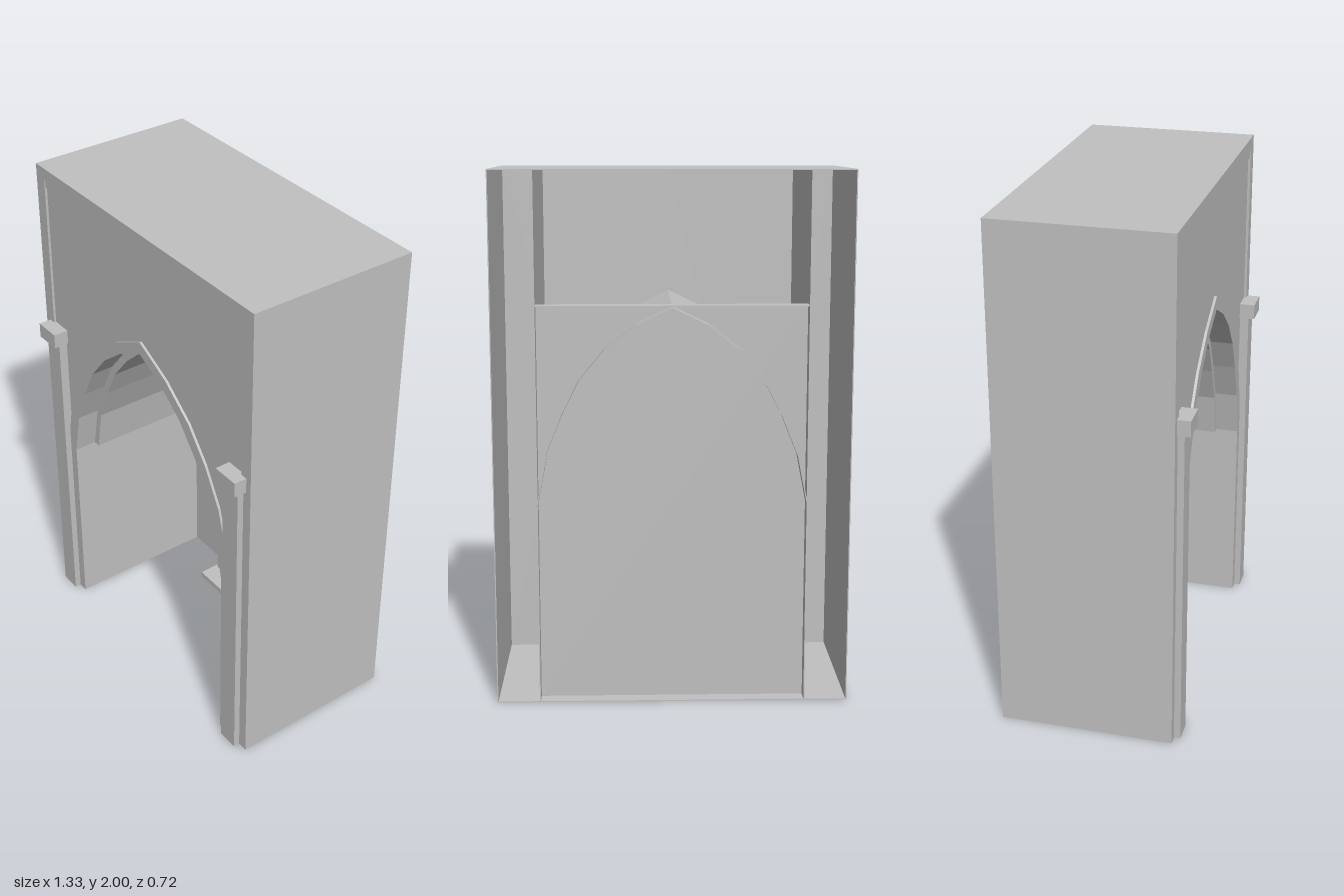
import * as THREE from 'three';

const stone = new THREE.MeshStandardMaterial({ color: 0xc0c0c0, side: THREE.DoubleSide, flatShading: true });
stone.name = 'stone grey';

// Half profiles, from the right foot up to the apex
const NICHE = [[0.5, 0.77], [0.465, 0.95], [0.405, 1.1], [0.34, 1.23], [0.245, 1.345], [0.13, 1.435], [0, 1.5]];
const LINER = [[0.47, 0.77], [0.44, 0.94], [0.38, 1.085], [0.32, 1.205], [0.23, 1.315], [0.125, 1.41], [0, 1.475]];
const TRIM = [[0.54, 0], [0.54, 0.85], [0.525, 0.93], [0.48, 1.09], [0.4, 1.235], [0.3, 1.36], [0.16, 1.47], [0, 1.552]];
const DOOR_OUT = [[0.255, 0], [0.255, 0.42], [0.24, 0.5], [0.2, 0.57], [0.15, 0.612], [0.08, 0.633], [0, 0.622]];
const DOOR_IN = [[0.22, 0], [0.22, 0.42], [0.205, 0.5], [0.17, 0.555], [0.12, 0.585], [0.06, 0.598], [0, 0.588]];

// Full arch path from right foot over the apex to left foot
const full = (half) => [...half, ...half.slice(0, -1).reverse().map(([x, y]) => [-x, y])];

export function createModel() {
  const model = new THREE.Group();
  model.name = 'archedNiche';

  const add = (name, geometry) => {
    const mesh = new THREE.Mesh(geometry, stone);
    mesh.name = name;
    model.add(mesh);
  };
  const box = (name, x0, x1, y0, y1, z0, z1) => {
    const g = new THREE.BoxGeometry(x1 - x0, y1 - y0, z1 - z0);
    add(name, g.translate((x0 + x1) / 2, (y0 + y1) / 2, (z0 + z1) / 2));
  };
  const pair = (name, x0, x1, ...rest) => {
    box(name + 'Left', x0, x1, ...rest);
    box(name + 'Right', -x1, -x0, ...rest);
  };
  const plate = (name, points, z0, z1) => {
    const shape = new THREE.Shape(points.map(([x, y]) => new THREE.Vector2(x, y)));
    const g = new THREE.ExtrudeGeometry(shape, { depth: z1 - z0, bevelEnabled: false });
    add(name, g.translate(0, 0, z0));
  };
  // Strip between two arch profiles
  const band = (name, outer, inner, z0, z1) =>
    plate(name, [...full(outer), ...full(inner).reverse()], z0, z1);

  const opening = [[0.5, 0], ...NICHE];
  const T = 0.004;

  // Hollow shell, open at the back
  box('roof', -0.665, 0.665, 2 - T, 2, -0.36, 0.31);
  pair('sideWall', 0.665 - T, 0.665, 0, 2, -0.36, 0.31);
  pair('jambWall', 0.5, 0.5 + T, 0, 2, -0.36, 0.3);
  pair('sideFloor', 0.5, 0.665, 0, T, -0.36, 0.31);
  box('backFloorStrip', -0.5, 0.5, 0, T, -0.36, -0.3);
  box('backWall', -0.5, 0.5, 0, 1.51, -0.304, -0.3);
  box('backLedge', -0.5, 0.5, 1.507, 1.511, -0.36, -0.3);

  // Front wall with its raised border and arch trim
  band('frontWall', [[0.66, 0], [0.66, 1.995], [0, 1.995]], opening, 0.295, 0.3);
  band('frontBorder', [[0.665, 0], [0.665, 2], [0, 2]], [[0.612, 0], [0.612, 1.95], [0, 1.95]], 0.3, 0.31);
  band('archTrim', TRIM, opening, 0.3, 0.31);
  box('topMoulding', -0.612, 0.612, 1.92, 1.95, 0.3, 0.306);

  // Pointed vault and its inner lining
  band('vault', NICHE.map(([x, y]) => [x + (x > 0 ? T : 0), y + (y > 0.77 ? T : 0)]), NICHE, -0.36, 0.3);
  band('vaultLining', NICHE, LINER, -0.3, 0.22);

  // Pilasters
  pair('pilaster', 0.54, 0.625, 0, 1.27, 0.3, 0.335);
  pair('capital', 0.53, 0.64, 1.27, 1.33, 0.3, 0.36);

  // Blind window on the back wall
  box('windowPanel', -0.3, 0.3, 0.735, 1.14, -0.3, -0.294);
  box('windowSill', -0.33, 0.33, 0.705, 0.735, -0.3, -0.255);
  box('windowLintel', -0.33, 0.33, 1.14, 1.17, -0.3, -0.255);

  // Door with frame, bars and threshold
  band('doorFrame', DOOR_OUT, DOOR_IN, -0.3, -0.235);
  box('threshold', -0.265, 0.265, 0, 0.025, -0.3, -0.155);
  box('doorPost', -0.009, 0.009, 0.025, 0.565, -0.3, -0.28);
  for (const y of [0.13, 0.283, 0.413]) box('doorBar', -0.21, 0.21, y - 0.01, y + 0.01, -0.3, -0.282);

  return model;
}
